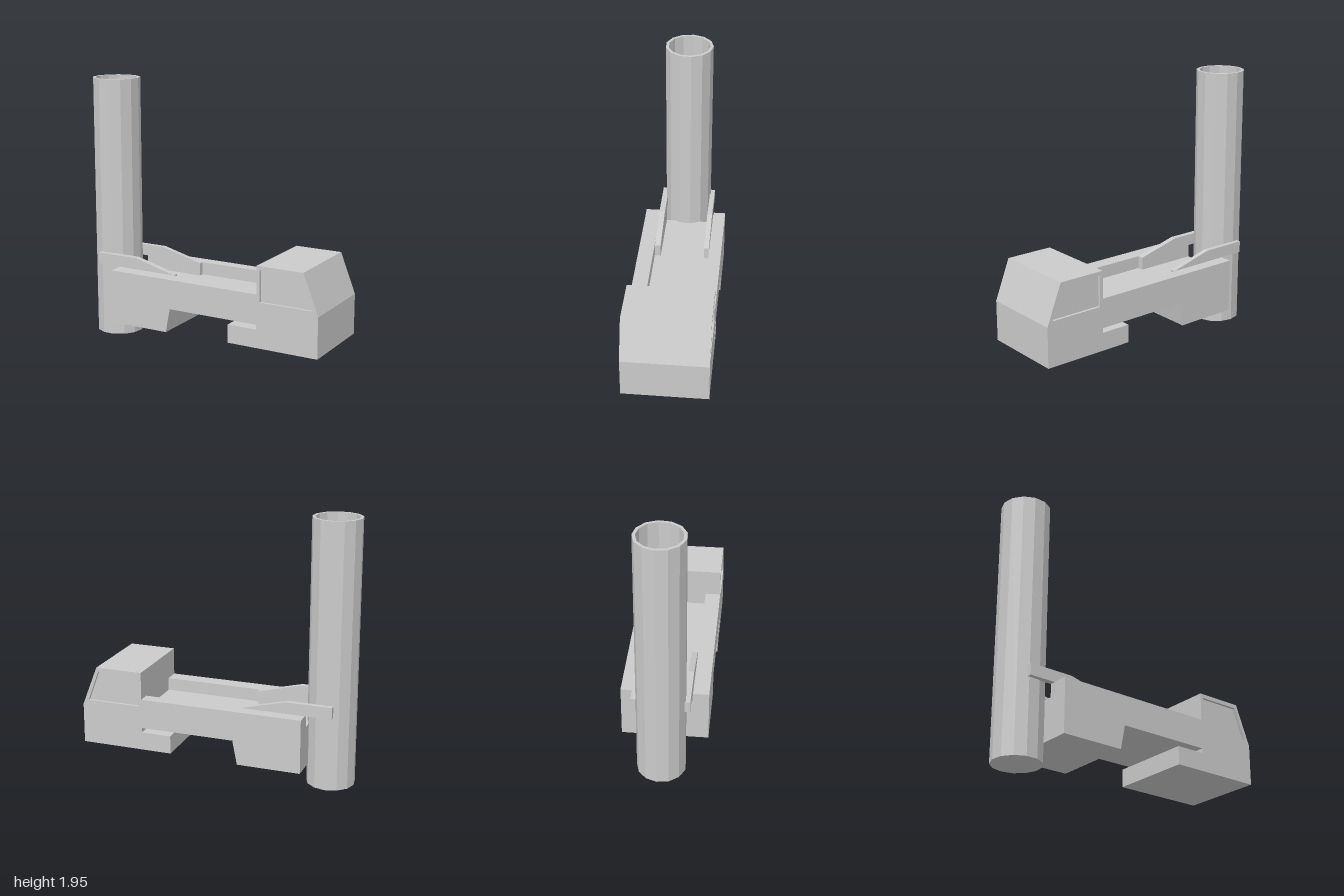
import * as THREE from 'three';

const material = new THREE.MeshStandardMaterial({ color: 0xcccccc, flatShading: true });

const toPath = (points, Kind = THREE.Shape) =>
  new Kind(points.map(([x, y]) => new THREE.Vector2(x, y)));

// Extrudes an x-y outline between two z planes.
function slab(name, outline, z0, z1, hole) {
  const shape = toPath(outline);
  if (hole) shape.holes.push(toPath(hole, THREE.Path));
  const geometry = new THREE.ExtrudeGeometry(shape, { depth: z1 - z0, bevelEnabled: false });
  geometry.translate(0, 0, z0);
  const mesh = new THREE.Mesh(geometry, material);
  mesh.name = name;
  return mesh;
}

// Side outline of the vehicle, with the deck at a chosen height.
const bodyOutline = (deck) => [
  [-0.68, 0.155], [-0.21, 0.155], [-0.175, 0.335], [0.53, 0.335], [0.53, 0.3],
  [0.305, 0.3], [0.305, 0.165], [1, 0.165], [1, 0.465], [0.885, 0.76],
  [0.53, 0.76], [0.53, deck], [-0.68, deck],
];

export function createModel() {
  const model = new THREE.Group();
  model.name = 'truckWithPipe';

  const floorY = 0.46, railY = 0.555, half = 0.312, skin = 0.02;
  const windowOutline = [[0.555, 0.5], [0.955, 0.5], [0.87, 0.73], [0.555, 0.73]];

  // Chassis and cab core with the sunken bed floor
  model.add(slab('body', bodyOutline(floorY), -half + skin, half - skin));

  // Outer side panels with window recesses
  model.add(slab('leftSidePanel', bodyOutline(railY), half - skin, half, windowOutline));
  model.add(slab('rightSidePanel', bodyOutline(railY), -half, -half + skin, windowOutline));

  // Thick rails along the bed
  const rail = [[-0.68, floorY], [0.53, floorY], [0.53, railY], [-0.68, railY]];
  model.add(slab('frontRail', rail, 0.198, half - skin));
  model.add(slab('backRail', rail, -half + skin, -0.22));

  // Tapered arms that reach past the tail and hold the pipe
  const arm = [
    [-0.68, floorY], [-0.21, floorY], [-0.21, railY], [-0.54, 0.64],
    [-0.875, 0.64], [-0.875, railY], [-0.68, railY],
  ];
  model.add(slab('frontArm', arm, 0.152, 0.195));
  model.add(slab('backArm', arm, -0.217, -0.18));

  // Upright hollow pipe with a closed base
  const height = 1.945, outer = 0.177, inner = 0.155, base = 0.02;
  const profile = [[0, 0], [outer, 0], [outer, height], [inner, height], [inner, base], [0, base]]
    .map(([r, y]) => new THREE.Vector2(r, y));
  const pipe = new THREE.Mesh(
    new THREE.LatheGeometry(profile, 13, THREE.MathUtils.degToRad(70.8)), material);
  pipe.name = 'pipe';
  pipe.position.set(-0.825, 0, -0.01);
  model.add(pipe);

  return model;
}
